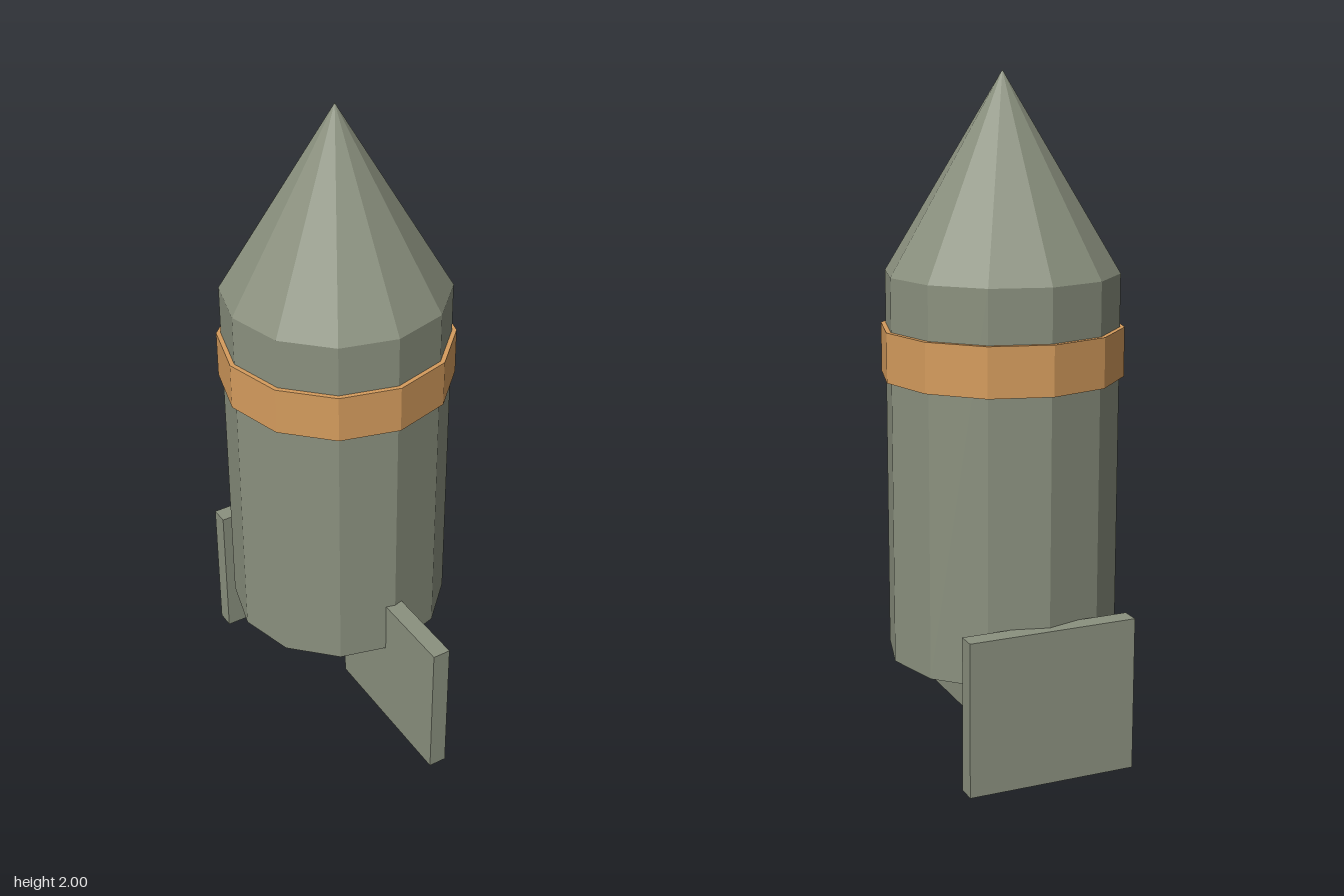
import * as THREE from 'three';

export function createModel() {
  const model = new THREE.Group();
  model.name = 'rocket';

  const flat = (name, color) => {
    const m = new THREE.MeshStandardMaterial({ color, flatShading: true });
    m.name = name;
    return m;
  };
  const greyGreen = flat('greyGreen', 0x8b917f);
  const orange = flat('orange', 0xd59c5d);

  const SIDES = 12;
  const AXIS_Z = -0.115;

  const add = (name, geometry, material, x, y, z) => {
    const mesh = new THREE.Mesh(geometry, material);
    mesh.name = name;
    mesh.position.set(x, y, z);
    model.add(mesh);
  };

  // Twelve-sided section of the hull between two heights
  const section = (name, rTop, rBottom, y0, y1, material) =>
    add(name, new THREE.CylinderGeometry(rTop, rBottom, y1 - y0, SIDES), material, 0, (y0 + y1) / 2, AXIS_Z);

  section('body', 0.342, 0.342, 0.29, 1.43, greyGreen);
  section('noseCone', 0, 0.342, 1.43, 2, greyGreen);
  section('band', 0.356, 0.356, 1.13, 1.275, orange);

  // Front fin stands edge-on, rear fin lies flat against the hull
  add('frontFin', new THREE.BoxGeometry(0.056, 0.46, 0.514), greyGreen, 0, 0.23, 0.228);
  add('rearFin', new THREE.BoxGeometry(0.514, 0.46, 0.056), greyGreen, 0, 0.23, -0.457);

  return model;
}
